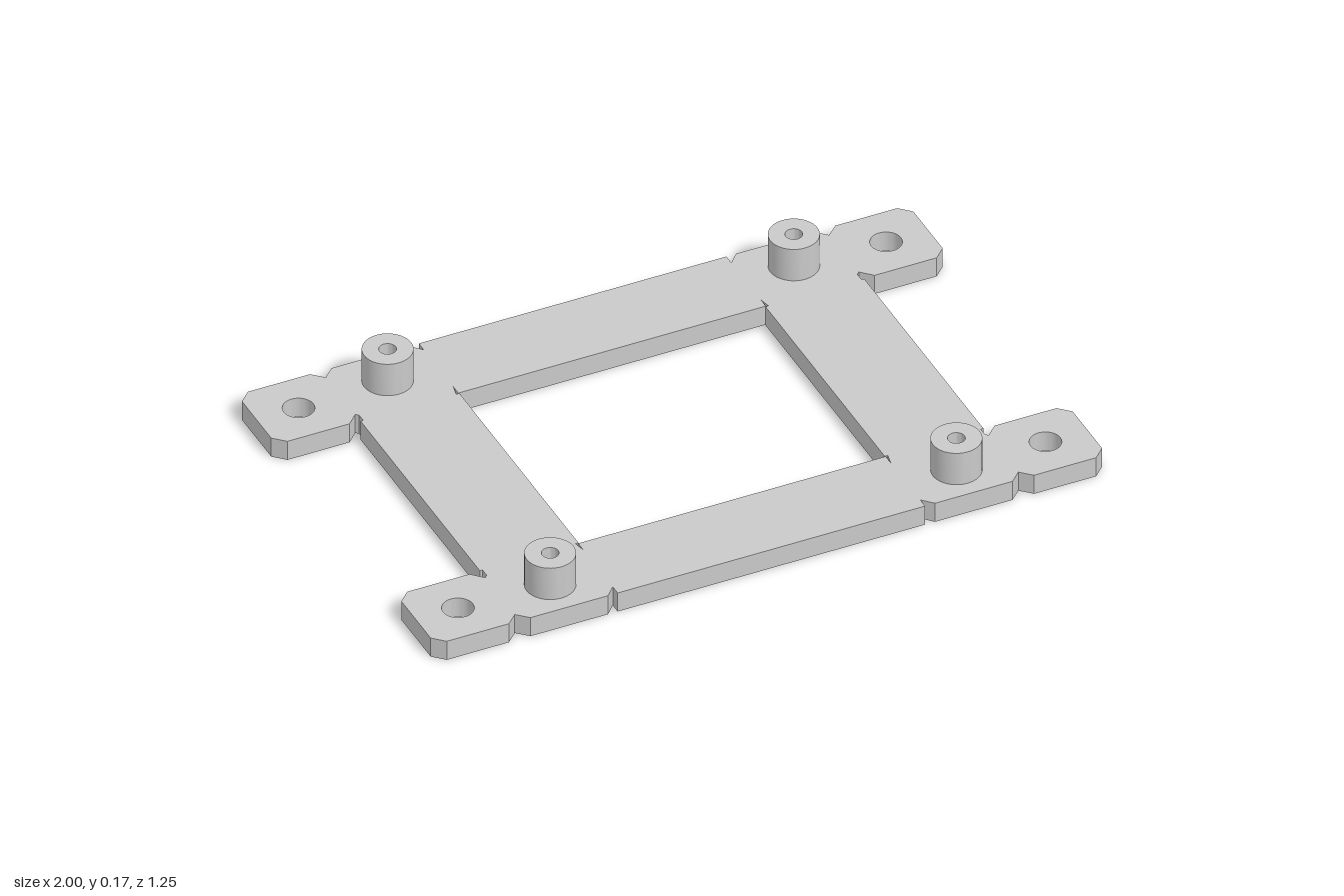
import * as THREE from 'three';
import { toCreasedNormals } from 'three/addons/utils/BufferGeometryUtils.js';

const PLATE = 0.062, POST_TOP = 0.167;
const MOUNT = { x: 0.875, z: 0.5, r: 0.044 };
const POST = { x: 0.605, z: 0.51, r: 0.07, bore: 0.024 };

// Repeats one quadrant's path around all four, reversing it where it is mirrored
function mirrorLoop(quadrant) {
  const signs = [[1, 1], [1, -1], [-1, -1], [-1, 1]];
  return signs.flatMap(([sx, sz], i) => {
    const pts = quadrant.map(([x, z]) => new THREE.Vector2(x * sx, z * sz));
    return i % 2 ? pts.reverse() : pts;
  });
}

// Clockwise circle, for holes
function circle(x, z, r) {
  return new THREE.Path().absarc(x, z, r, 0, Math.PI * 2, true);
}

// Extrudes a plan shape upwards, smooth on curves and sharp at edges
function slab(shape, height) {
  const geometry = new THREE.ExtrudeGeometry(shape, { depth: height, bevelEnabled: false, curveSegments: 24 });
  geometry.rotateX(-Math.PI / 2);
  return toCreasedNormals(geometry, 0.6);
}

export function createModel() {
  const group = new THREE.Group();
  const grey = new THREE.MeshStandardMaterial({ color: 0xc9c9c9 });
  grey.name = 'grey';

  // Frame outline with chamfered ears and V notches
  const outline = mirrorLoop([
    [0.458, 0.624], [0.458, 0.593], [0.487, 0.624], [0.718, 0.624],
    [0.75, 0.593], [0.782, 0.624], [0.967, 0.624], [1, 0.592],
    [1, 0.408], [0.967, 0.376], [0.782, 0.376], [0.75, 0.408],
    [0.742, 0.4], [0.742, 0.374], [0.75, 0.374],
  ]);
  // Central opening with small relief slits at its corners
  const opening = mirrorLoop([
    [0.458, 0.376], [0.458, 0.408], [0.465, 0.374], [0.456, 0.374],
  ]);
  // The outline runs counter-clockwise and the holes clockwise
  const plate = new THREE.Shape(outline.reverse());
  plate.holes.push(new THREE.Path(opening));

  for (const sx of [-1, 1]) {
    for (const sz of [-1, 1]) {
      // Mounting hole and standoff bore through the plate
      plate.holes.push(circle(sx * MOUNT.x, sz * MOUNT.z, MOUNT.r));
      plate.holes.push(circle(sx * POST.x, sz * POST.z, POST.bore));

      // Hollow standoff post
      const ring = new THREE.Shape().absarc(0, 0, POST.r, 0, Math.PI * 2, false);
      ring.holes.push(circle(0, 0, POST.bore));
      const post = new THREE.Mesh(slab(ring, POST_TOP - PLATE), grey);
      post.name = (sz > 0 ? 'front' : 'back') + (sx > 0 ? 'Left' : 'Right') + 'Standoff';
      post.position.set(sx * POST.x, PLATE, sz * POST.z);
      group.add(post);
    }
  }

  const frame = new THREE.Mesh(slab(plate, PLATE), grey);
  frame.name = 'framePlate';
  group.add(frame);
  return group;
}
